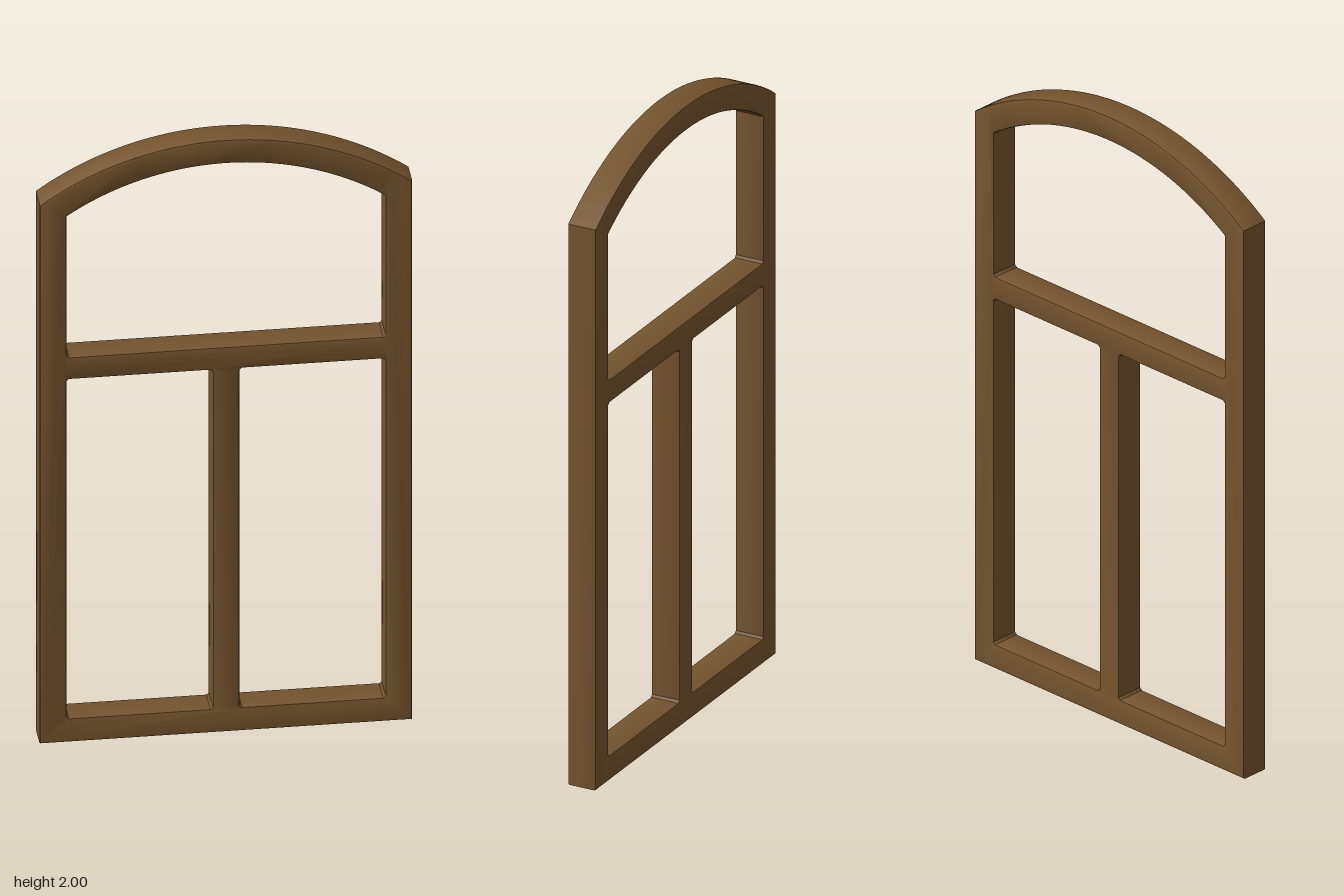
import * as THREE from 'three';
import { toCreasedNormals } from 'three/addons/utils/BufferGeometryUtils.js';

const DEPTH = 0.096;
const BEVEL = 0.007;

// Closed outline with straight sides and a shallow arched top.
function arched(half, bottom, spring, crown, corner, PathType) {
  const rise = crown - spring;
  const radius = (half * half + rise * rise) / (2 * rise);
  const angle = Math.asin(half / radius);
  const p = new PathType();
  p.moveTo(-half + corner, bottom);
  p.lineTo(half - corner, bottom);
  if (corner) p.lineTo(half, bottom + corner);
  p.lineTo(half, spring);
  p.absarc(0, crown - radius, radius, Math.PI / 2 - angle, Math.PI / 2 + angle, false);
  if (corner) p.lineTo(-half, bottom + corner);
  return p;
}

// Rectangular opening with slightly eased corners.
function pane(x0, x1, y0, y1, c) {
  return new THREE.Path([
    [x0 + c, y0], [x1 - c, y0], [x1, y0 + c], [x1, y1 - c],
    [x1 - c, y1], [x0 + c, y1], [x0, y1 - c], [x0, y0 + c],
  ].map(([x, y]) => new THREE.Vector2(x, y)));
}

export function createModel() {
  const group = new THREE.Group();
  group.name = 'archedWindowFrame';

  const wood = new THREE.MeshStandardMaterial({ color: 0x74542e });
  wood.name = 'brown wood';

  // Frame, transom and mullion are one piece around three openings
  const shape = arched(0.555, 0, 1.82, 2.0, 0, THREE.Shape);
  shape.holes.push(arched(0.475, 1.3, 1.775, 1.92, 0.007, THREE.Path));
  for (const [x0, x1] of [[-0.475, -0.04], [0.04, 0.475]]) {
    shape.holes.push(pane(x0, x1, 0.08, 1.225, 0.007));
  }

  // Negative offset keeps the outline at full size with eased edges
  const geometry = new THREE.ExtrudeGeometry(shape, {
    depth: DEPTH - 2 * BEVEL,
    bevelEnabled: true,
    bevelThickness: BEVEL,
    bevelSize: BEVEL,
    bevelOffset: -BEVEL,
    bevelSegments: 2,
    curveSegments: 24,
  });
  geometry.translate(0, 0, -DEPTH / 2 + BEVEL);

  const frame = new THREE.Mesh(toCreasedNormals(geometry, Math.PI / 6), wood);
  frame.name = 'windowFrame';
  group.add(frame);
  return group;
}
